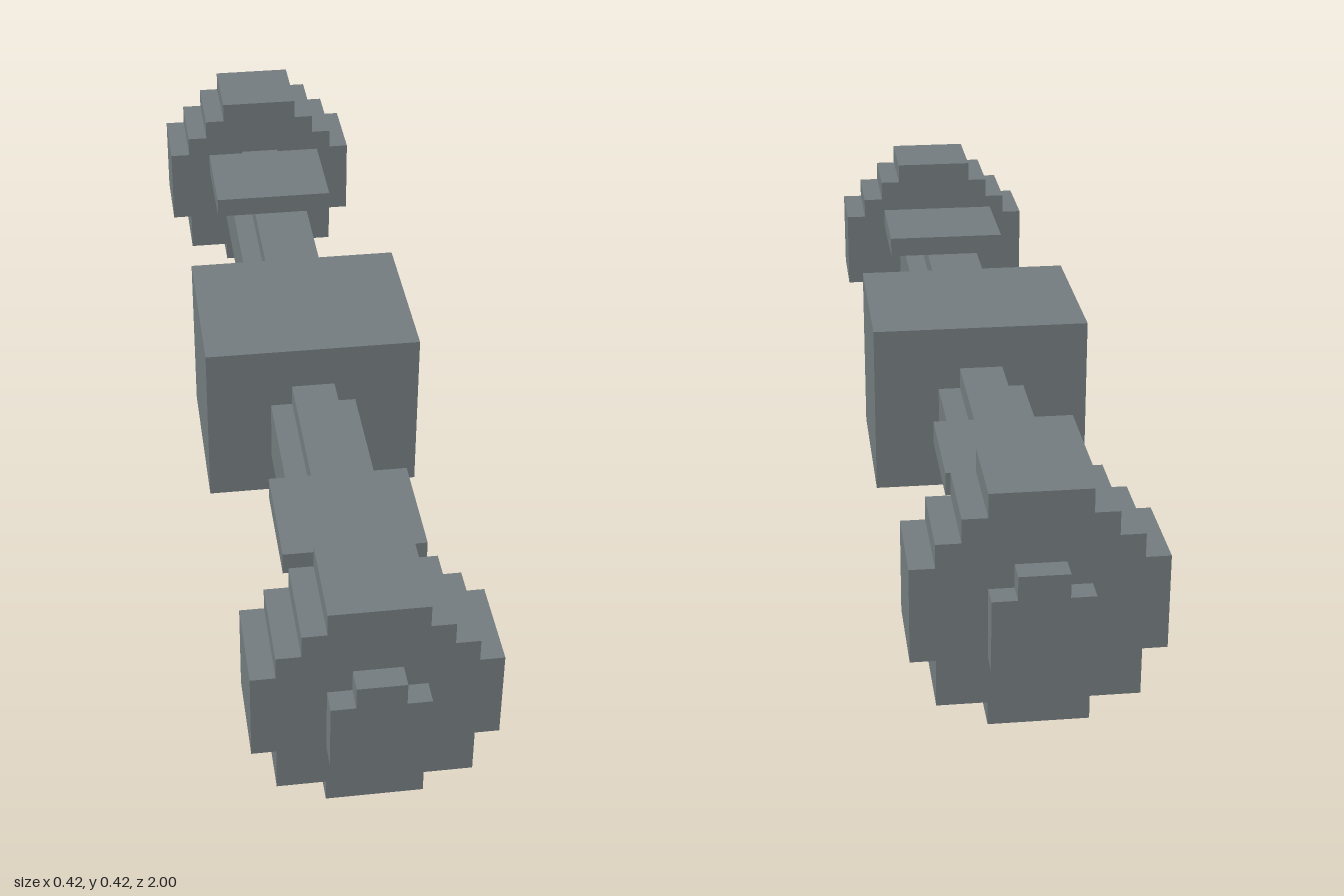
import * as THREE from 'three';

const U = 1 / 24; // block unit

export function createModel() {
  const group = new THREE.Group();
  const grey = new THREE.MeshStandardMaterial({ color: 0x737b7e });
  grey.name = 'slate grey';

  function add(name, geometry, x, y, z) {
    const mesh = new THREE.Mesh(geometry, grey);
    mesh.name = name;
    mesh.position.set(x, y, z);
    group.add(mesh);
  }

  // Extrudes a stepped profile, given as its right half from bottom to top in block units
  function stepped(half, depth) {
    const mirrored = half.map(([x, y]) => [-x, y]).reverse();
    const points = [...half, ...mirrored].map(([x, y]) => new THREE.Vector2(x * U, y * U));
    return new THREE.ExtrudeGeometry(new THREE.Shape(points), { depth: depth * U, bevelEnabled: false })
      .translate(0, 0, -depth * U / 2);
  }

  // Axle with a narrow ridge on top
  add('axle', stepped([[2, 3], [2, 6], [1, 6], [1, 7]], 48), 0, 0, 0);

  // Central housing
  add('housing', new THREE.BoxGeometry(10 * U, 8 * U, 8 * U), 0, 5 * U, 0);

  // Stepped wheels and the flat pads beside them
  const wheel = stepped([
    [2, 0], [2, 1], [4, 1], [4, 3], [5, 3], [5, 7],
    [4, 7], [4, 8], [3, 8], [3, 9], [2, 9], [2, 10],
  ], 4);
  const pad = new THREE.BoxGeometry(6 * U, U, 5 * U);
  for (const [side, s] of [['front', 1], ['back', -1]]) {
    add(side + 'Wheel', wheel, 0, 0, s * 21 * U);
    add(side + 'Pad', pad, 0, 7.5 * U, s * 14.5 * U);
  }
  return group;
}
